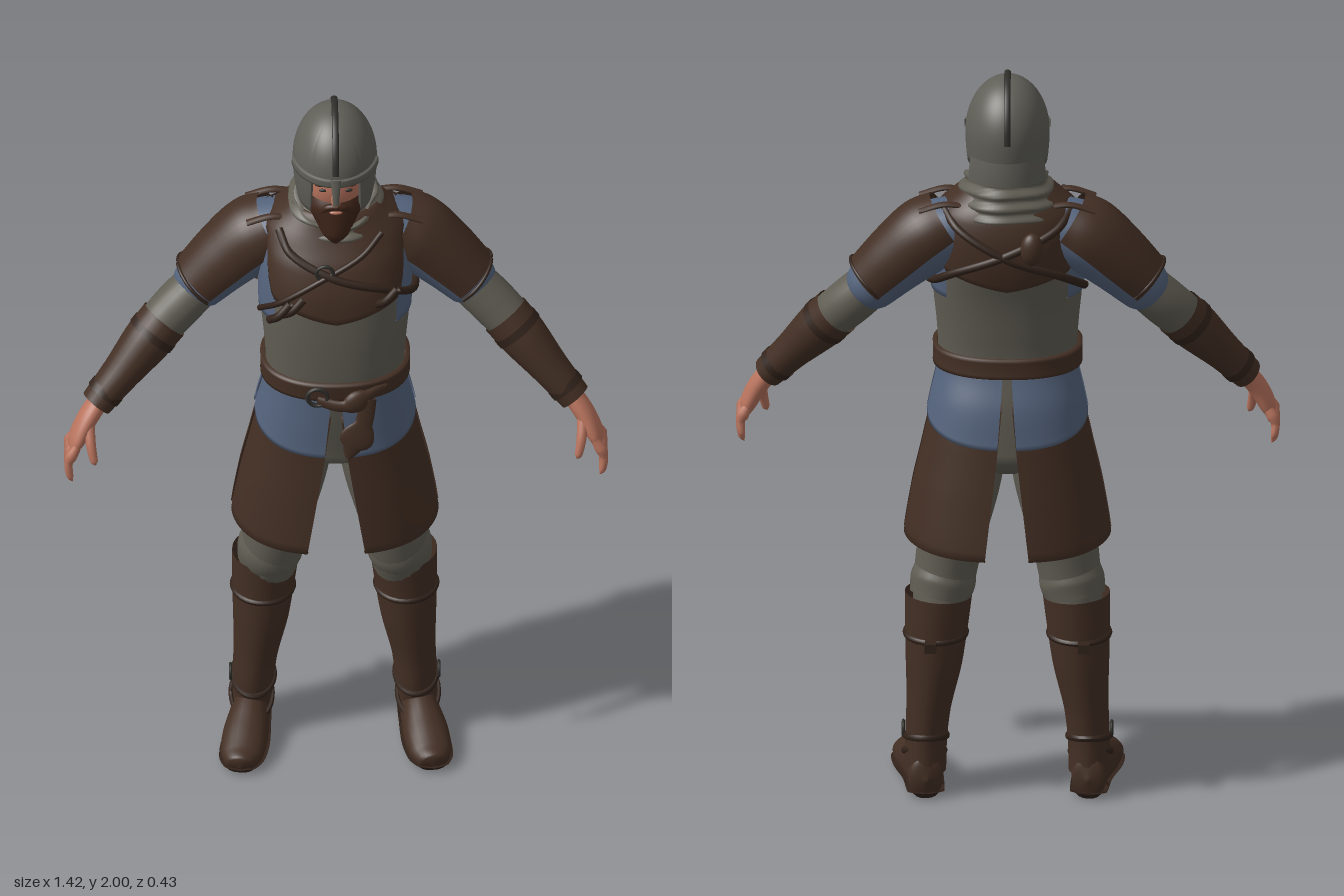
import * as THREE from 'three';
import { mergeVertices } from 'three/addons/utils/BufferGeometryUtils.js';

const mat = (name, color) => {
  const m = new THREE.MeshStandardMaterial({ color, side: THREE.DoubleSide });
  m.name = name;
  return m;
};
const V = (x, y, z) => new THREE.Vector3(x, y, z);
const { clamp, lerp, smoothstep } = THREE.MathUtils;

export function createModel() {
  const cloth = mat('grey cloth', 0x605d53), steel = mat('helmet steel', 0x5f5e57);
  const leather = mat('brown leather', 0x432f24), dark = mat('dark leather', 0x32231b);
  const blue = mat('blue cloth', 0x54637c), skin = mat('skin', 0xb9745e);
  const hair = mat('beard hair', 0x3f2519), iron = mat('dark iron', 0x2f2e2a);

  const model = new THREE.Group();
  model.name = 'warrior';
  const add = (parent, name, geo, material) => {
    const m = new THREE.Mesh(geo, material);
    m.name = name;
    parent.add(m);
    return m;
  };

  // Smooth surface from a rule giving a point for (column, row)
  function grid(nu, nv, fn) {
    const pos = [], idx = [];
    for (let j = 0; j <= nv; j++) for (let i = 0; i <= nu; i++) pos.push(...fn(i, j).toArray());
    for (let j = 0; j < nv; j++) for (let i = 0; i < nu; i++) {
      const a = j * (nu + 1) + i, b = a + nu + 1;
      idx.push(a, b, a + 1, a + 1, b, b + 1);
    }
    const g = new THREE.BufferGeometry();
    g.setAttribute('position', new THREE.Float32BufferAttribute(pos, 3));
    g.setIndex(idx);
    const merged = mergeVertices(g, 1e-5);
    merged.computeVertexNormals();
    return merged;
  }

  // Elliptical tube; stations are [x, y, z, outward radius, radius along ref]
  function sweep(st, { from = 0, to = Math.PI * 2, ref = V(0, 0, 1), seg = 24, steps = 6, rule } = {}) {
    const path = new THREE.CatmullRomCurve3(st.map(s => V(s[0], s[1], s[2])));
    const rad = new THREE.CatmullRomCurve3(st.map(s => V(s[3], s[4], 0)));
    const nv = (st.length - 1) * steps;
    return grid(seg, nv, (i, j) => {
      const c = path.getPoint(j / nv), r = rad.getPoint(j / nv), t = path.getTangent(j / nv);
      const n = ref.clone().addScaledVector(t, -ref.dot(t)).normalize(), u = n.clone().cross(t);
      const a = lerp(from, to, i / seg);
      c.addScaledVector(u, r.x * Math.cos(a)).addScaledVector(n, -r.y * Math.sin(a));
      return rule ? rule(c) : c;
    });
  }

  // Body profile from rows [y, z centre, half width, half depth]
  const profile = (rows, p) => (a, y, off = 0) => {
    const yy = clamp(y, rows[0][0], rows.at(-1)[0]);
    let i = 0;
    while (i < rows.length - 2 && yy > rows[i + 1][0]) i++;
    const t = (yy - rows[i][0]) / (rows[i + 1][0] - rows[i][0]), R = k => rows[clamp(k, 0, rows.length - 1)];
    const at = k => {
      const [p0, p1, p2, p3] = [R(i - 1)[k], R(i)[k], R(i + 1)[k], R(i + 2)[k]];
      const m0 = (p2 - p0) / 2, m1 = (p3 - p1) / 2;
      return p1 + t * (m0 + t * (3 * (p2 - p1) - 2 * m0 - m1 + t * (2 * (p1 - p2) + m0 + m1)));
    };
    const pw = s => Math.sign(s) * Math.abs(s) ** p;
    return V((at(2) + off) * pw(Math.sin(a)), y, at(1) + (at(3) + off) * pw(Math.cos(a)));
  };

  // Garment layer over a profile; u = [top start, top end, bottom start, bottom end], 0 is front
  function shell(prof, top, bot, { u = [0, Math.PI * 2], off = 0, nu = 64, nv = 18, ease = 1, thick = 0.012 } = {}) {
    const f = (q, a) => (typeof q === 'function' ? q(a) : q);
    const [a0, a1, b0 = a0, b1 = a1] = u;
    return grid(nu, nv, (i, j) => {
      const v = clamp((j - 1) / (nv - 2), 0, 1) ** ease;
      const a = lerp(lerp(a0, b0, v), lerp(a1, b1, v), i / nu);
      const y = lerp(f(top, a), f(bot, a), v);
      return prof(a, y, (typeof off === 'function' ? off(a, y) : off) - (j === 0 || j === nv ? thick : 0));
    });
  }
  const ellipsoid = (x, y, z, a, b, c) => new THREE.SphereGeometry(1, 28, 20).scale(a, b, c).translate(x, y, z);
  const rod = (pts, r, r2 = r, opts) => sweep(pts.map(p => [...p, r, r2]), { seg: 10, ...opts });
  const strap = (prof, pts, r = 0.011, off = 0.016) => rod(pts.map(([a, y]) => prof(a, y, off).toArray()), r, r);
  const wrap = a => Math.abs(Math.atan2(Math.sin(a), Math.cos(a)));

  const torso = profile([
    [0.95, 0, 0.175, 0.14], [1.1, 0.015, 0.185, 0.148], [1.21, 0.03, 0.181, 0.145], [1.3, 0.028, 0.186, 0.15],
    [1.4, 0.02, 0.195, 0.156], [1.5, 0.004, 0.195, 0.163], [1.58, -0.012, 0.188, 0.15], [1.64, -0.025, 0.17, 0.123],
    [1.68, -0.025, 0.125, 0.1], [1.73, -0.02, 0.07, 0.075]], 0.88);
  const skirt = profile([
    [0.68, 0, 0.275, 0.205], [0.85, 0.004, 0.25, 0.188], [1.0, 0.008, 0.217, 0.17],
    [1.1, 0.014, 0.195, 0.158], [1.2, 0.028, 0.174, 0.138]], 0.85);
  const coif = profile([
    [1.58, -0.03, 0.14, 0.14], [1.63, -0.032, 0.143, 0.142], [1.68, -0.034, 0.125, 0.132],
    [1.74, -0.028, 0.1, 0.115], [1.79, -0.02, 0.09, 0.1]], 1);
  const helm = (a, y, off = 0) => {
    const k = y > 1.84 ? Math.sqrt(Math.max(0, 1 - ((y - 1.84) / 0.15) ** 2)) : 1 - 0.12 * ((1.84 - y) / 0.12) ** 2;
    return V((0.11 * k + off) * Math.sin(a), y + (y > 1.84 ? off * (1 - k) : 0), -0.01 + (0.137 * k + off) * Math.cos(a));
  };

  // Torso and clothing layers
  const body = new THREE.Group();
  body.name = 'body';
  model.add(body);
  add(body, 'tunic', shell(torso, 1.73, 0.95, { nv: 36 }), cloth);
  add(body, 'pelvis', ellipsoid(0, 0.98, 0, 0.15, 0.1, 0.12), cloth);
  const mantleEdge = a => {
    const w = wrap(a), q = Math.min(w, Math.PI - w);
    return (w < 1.57 ? 1.43 : 1.44) + 0.055 * q + 0.13 * smoothstep(q, 0.85, 1.2);
  };
  add(body, 'mantle', shell(torso, 1.7, mantleEdge, { off: 0.012, nu: 96 }), leather);
  for (const s of [1, -1])
    add(body, 'undershirtSide', shell(torso, 1.66, 1.4, { u: [s * 1.57 - 0.7, s * 1.57 + 0.7], off: 0.005, nu: 24 }), blue);
  add(body, 'belt', shell(torso, 1.238, 1.185, { off: 0.014, nv: 8 }), leather);
  const gaps = [[0.04, 1.53, 0.22, 1.53], [1.6, 3.1, 1.62, 2.98], [3.18, 4.68, 3.3, 4.66], [4.75, 6.24, 4.75, 6.06]];
  for (const u of gaps) {
    add(body, 'skirtPanel', shell(skirt, 1.12, a => 0.7 + 0.02 * Math.abs(Math.sin(a)) ** 3,
      { u, nu: 24, nv: 20 }), leather);
    const hem = [u[0], u[1], lerp(u[0], u[2], 0.3), lerp(u[1], u[3], 0.3)];
    add(body, 'skirtYoke', shell(skirt, 1.19, a => 1.06 - 0.06 * Math.abs(Math.cos(a)),
      { u: hem, off: 0.007, nu: 24 }), blue);
  }

  // Belt buckle, crossing strap and hanging end
  add(body, 'beltBuckle', new THREE.TorusGeometry(0.026, 0.006, 8, 24).translate(-0.05, 1.205, 0.195), iron);
  add(body, 'beltWrap', sweep([[-0.05, 1.19, 0.19, 0.014, 0.008], [0.02, 1.18, 0.202, 0.017, 0.01],
    [0.08, 1.205, 0.19, 0.017, 0.01], [0.13, 1.21, 0.155, 0.012, 0.008]]), leather);
  add(body, 'beltEnd', sweep([[0.085, 1.2, 0.195, 0.02, 0.007], [0.07, 1.12, 0.2, 0.024, 0.007],
    [0.04, 1.05, 0.21, 0.024, 0.007], [0.03, 1.02, 0.212, 0.008, 0.005]]), leather);

  // Baldric, crossed back straps and small gear on the chest
  add(body, 'baldric', strap(torso, [[-0.95, 1.65], [-0.6, 1.61], [0, 1.56], [0.6, 1.52], [1.2, 1.47],
    [1.9, 1.44], [2.5, 1.49], [3.14, 1.55], [3.8, 1.61], [4.4, 1.65]]), dark);
  add(body, 'backStrap', strap(torso, [[1.9, 1.65], [2.5, 1.61], [3.14, 1.54], [3.8, 1.48], [4.4, 1.42]]), dark);
  add(body, 'chestStrap', strap(torso, [[-1.2, 1.42], [-0.7, 1.48], [-0.2, 1.55], [0.3, 1.61], [0.7, 1.65]], 0.008), dark);
  add(body, 'strapRing', new THREE.TorusGeometry(0.022, 0.005, 8, 20).translate(-0.03, 1.58, 0.16), iron);
  for (const [x, y] of [[-0.15, 1.455], [-0.115, 1.47], [0.13, 1.5]])
    add(body, 'chestToggle', rod([[x - 0.025, y - 0.025, 0.155], [x, y, 0.175], [x + 0.03, y + 0.035, 0.17]], 0.011), dark);
  add(body, 'backPouch', ellipsoid(-0.065, 1.57, -0.18, 0.03, 0.045, 0.025), leather);

  // Head, face and beard
  const head = new THREE.Group();
  head.name = 'head';
  model.add(head);
  add(head, 'face', ellipsoid(0, 1.8, 0.005, 0.085, 0.115, 0.108), skin);
  add(head, 'nose', ellipsoid(0, 1.785, 0.116, 0.013, 0.022, 0.018), skin);
  add(head, 'beard', sweep([[0, 1.765, 0.045, 0.07, 0.055], [0, 1.735, 0.06, 0.072, 0.06], [0, 1.7, 0.075, 0.056, 0.052],
    [0, 1.66, 0.092, 0.034, 0.036], [0, 1.63, 0.1, 0.004, 0.004]]), hair);
  add(head, 'lips', ellipsoid(0, 1.745, 0.115, 0.018, 0.006, 0.008), skin);
  for (const s of [1, -1]) {
    add(head, 'moustache', rod([[0, 1.764, 0.118], [s * 0.022, 1.758, 0.113], [s * 0.038, 1.735, 0.1]], 0.009), hair);
    add(head, 'eye', ellipsoid(s * 0.032, 1.808, 0.103, 0.012, 0.005, 0.005), iron);
    add(head, 'eyebrow', ellipsoid(s * 0.034, 1.824, 0.1, 0.02, 0.005, 0.008), hair);
  }

  // Hood cloth gathered round the neck, with soft folds
  const folds = (a, y) => 0.006 * Math.sin(y * 190 + 2.5 * Math.cos(a)) + 0.004 * Math.sin(5 * a);
  add(head, 'hood', shell(coif, a => 1.735 - 0.055 * Math.cos(a), a => 1.615 - 0.025 * Math.cos(a),
    { off: folds, nv: 28 }), cloth);

  // Helmet with cheek guards, nose guard and crest
  const brim = a => {
    const w = wrap(a);
    return 1.838 - 0.115 * smoothstep(w, 0.6, 0.72) + 0.05 * smoothstep(w, 1.15, 1.9);
  };
  add(head, 'helmet', shell(helm, 1.99, brim, { nu: 120, nv: 36, ease: 2, thick: 0.008 }), steel);
  add(head, 'browBand', shell(helm, 1.858, 1.836, { u: [-1.35, 1.35], off: 0.006, nu: 40, nv: 6 }), steel);
  add(head, 'neckGuard', shell((a, y) => helm(a, y, 0.01 + (1.8 - y) * 0.25), 1.8, 1.735,
    { u: [2.2, 4.08], nu: 30, nv: 8 }), steel);
  add(head, 'noseGuard', sweep([[0, 1.86, 0.13, 0.014, 0.006], [0, 1.82, 0.137, 0.01, 0.006], [0, 1.785, 0.142, 0.008, 0.004]]), steel);
  const crest = [];
  for (let i = 0; i <= 12; i++) {
    const t = lerp(0.2, Math.PI - 0.05, i / 12);
    crest.push([0, 1.84 + 0.153 * Math.sin(t), -0.01 + 0.14 * Math.cos(t)]);
  }
  add(head, 'crest', rod(crest, 0.006, 0.009, { ref: V(1, 0, 0), steps: 4 }), iron);

  // Arm on the +x side: sleeve, shoulder guard, bracer
  const arm = new THREE.Group();
  arm.name = 'leftArm';
  add(arm, 'sleeve', sweep([[0.12, 1.59, -0.045, 0.08, 0.09], [0.2, 1.555, -0.048, 0.092, 0.098],
    [0.28, 1.49, -0.042, 0.083, 0.09], [0.36, 1.41, -0.03, 0.07, 0.075], [0.375, 1.393, -0.026, 0.06, 0.064]]), blue);
  add(arm, 'shoulderGuard', sweep([[0.155, 1.595, -0.045, 0.09, 0.098], [0.21, 1.56, -0.048, 0.102, 0.107],
    [0.28, 1.495, -0.042, 0.096, 0.1], [0.35, 1.425, -0.032, 0.084, 0.088]], { from: -1.85, to: 1.85 }), leather);
  add(arm, 'guardTrim', rod([...Array(9)].map((_, i) => {
    const a = lerp(-1.85, 1.85, i / 8), r = 0.084 * Math.cos(a) * 0.707;
    return [0.35 + r, 1.425 + r, -0.032 - 0.088 * Math.sin(a)];
  }), 0.005), dark);
  for (const z of [-0.1, 0.02])
    add(arm, 'shoulderStrap', rod([[0.11, 1.66, z], [0.165, 1.665, z], [0.23, 1.645, z]], 0.007, 0.012), leather);
  add(arm, 'elbowSleeve', sweep([[0.34, 1.43, -0.03, 0.06, 0.065], [0.4, 1.37, -0.015, 0.063, 0.066],
    [0.44, 1.33, 0, 0.062, 0.063], [0.5, 1.27, 0.03, 0.052, 0.055]]), cloth);
  add(arm, 'bracer', sweep([[0.445, 1.325, 0.003, 0.066, 0.067], [0.49, 1.275, 0.025, 0.064, 0.066],
    [0.56, 1.195, 0.06, 0.05, 0.056], [0.625, 1.12, 0.09, 0.042, 0.047]]), leather);
  for (const [x, y, z, r] of [[0.475, 1.292, 0.018, 0.067], [0.6, 1.149, 0.078, 0.048]])
    add(arm, 'bracerStrap', sweep([[x - 0.007, y + 0.008, z - 0.003, r, r + 0.003],
      [x + 0.007, y - 0.008, z + 0.003, r, r + 0.003]], { steps: 2 }), dark);

  // Hand
  add(arm, 'palm', sweep([[0.615, 1.13, 0.085, 0.026, 0.034], [0.65, 1.08, 0.105, 0.026, 0.04],
    [0.675, 1.03, 0.118, 0.023, 0.045], [0.688, 0.995, 0.124, 0.012, 0.035], [0.69, 0.99, 0.124, 0.001, 0.001]]), skin);
  for (let i = 0; i < 4; i++) {
    const z = 0.088 + 0.024 * i, e = 0.072 + 0.032 * i, tip = [0.94, 0.92, 0.915, 0.925][i];
    add(arm, 'finger', sweep([[0.675, 1.03, z, 0.011, 0.011], [0.698, 0.985, (z + e) / 2, 0.011, 0.011],
      [0.695, tip + 0.015, e, 0.009, 0.009], [0.688, tip, e, 0.001, 0.001]], { seg: 10, steps: 4 }), skin);
  }
  add(arm, 'thumb', sweep([[0.645, 1.08, 0.125, 0.015, 0.015], [0.64, 1.03, 0.158, 0.013, 0.013],
    [0.632, 0.99, 0.172, 0.01, 0.01], [0.628, 0.98, 0.174, 0.001, 0.001]], { seg: 10 }), skin);

  // Leg on the +x side with tall boot
  const leg = new THREE.Group();
  leg.name = 'leftLeg';
  add(leg, 'trouser', sweep([[0.09, 1.06, 0, 0.1, 0.125], [0.115, 0.87, 0, 0.1, 0.115],
    [0.15, 0.68, 0, 0.086, 0.096], [0.165, 0.58, -0.008, 0.08, 0.088], [0.178, 0.48, -0.03, 0.07, 0.075]]), cloth);
  add(leg, 'kneeFold', sweep([[0.16, 0.62, -0.004, 0.078, 0.085], [0.168, 0.58, -0.01, 0.086, 0.092],
    [0.178, 0.535, -0.022, 0.078, 0.082]]), cloth);
  add(leg, 'bootShaft', sweep([[0.18, 0.55, -0.028, 0.088, 0.092], [0.185, 0.47, -0.03, 0.083, 0.09],
    [0.192, 0.36, -0.03, 0.074, 0.088], [0.206, 0.23, -0.03, 0.058, 0.08], [0.212, 0.15, -0.03, 0.055, 0.077],
    [0.215, 0.06, -0.04, 0.055, 0.07]]), leather);
  const onGround = (lo, hi) => p => p.setY(clamp(p.y, lo, hi));
  const foot = w => [[0.21, 0.055, -0.115 - w, 0.004, 0.004], [0.212, 0.055, -0.1, 0.058, 0.044 + w],
    [0.22, 0.055, 0, 0.07, 0.05 + w], [0.236, 0.043, 0.1, 0.053, 0.06 + w],
    [0.247, 0.033, 0.17, 0.037, 0.055 + w], [0.252, 0.028, 0.208, 0.03, 0.036 + w], [0.253, 0.025, 0.217 + w, 0.002, 0.002]];
  add(leg, 'bootFoot', sweep(foot(0), { ref: V(1, 0, 0), rule: onGround(0.004, 1) }), leather);
  add(leg, 'bootSole', sweep(foot(0.004), { ref: V(1, 0, 0), rule: onGround(0, 0.018) }), dark);
  const band = (name, x, y, z, a, b, tilt) => add(leg, name, new THREE.TorusGeometry(1, 0.1, 8, 32)
    .scale(a, b, 0.09).rotateX(Math.PI / 2 + tilt).translate(x, y, z), dark);
  band('calfStrap', 0.187, 0.44, -0.03, 0.079, 0.086, 0);
  band('ankleStrap', 0.212, 0.15, -0.03, 0.056, 0.078, 0.25);
  band('instepStrap', 0.217, 0.1, -0.012, 0.055, 0.085, 0.4);
  add(leg, 'calfBuckle', new THREE.BoxGeometry(0.03, 0.025, 0.035).translate(0.2, 0.435, -0.13), dark);
  add(leg, 'ankleRing', new THREE.TorusGeometry(0.02, 0.004, 8, 20).rotateY(Math.PI / 2).translate(0.272, 0.165, -0.02), iron);

  // Mirror the limbs to the other side
  for (const limb of [arm, leg]) {
    const other = new THREE.Group();
    other.name = limb.name.replace('left', 'right');
    for (const m of limb.children) {
      const g = m.geometry.clone().scale(-1, 1, 1), ix = g.index.array;
      for (let i = 0; i < ix.length; i += 3) [ix[i], ix[i + 1]] = [ix[i + 1], ix[i]];
      g.computeVertexNormals();
      add(other, m.name, g, m.material);
    }
    model.add(limb, other);
  }
  return model;
}
